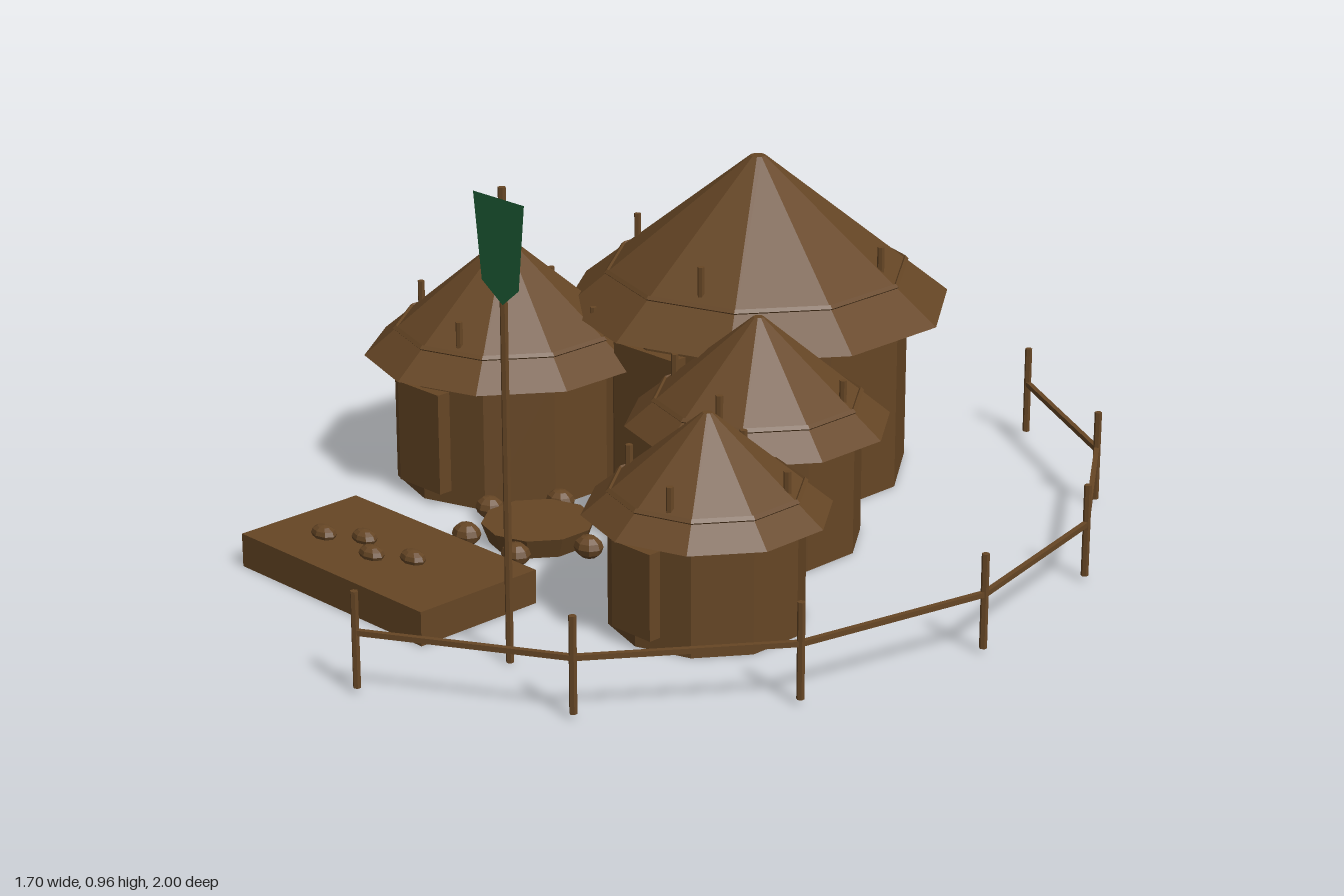
import * as THREE from 'three';

const wood = new THREE.MeshStandardMaterial({ color: 0x664625, flatShading: true });
wood.name = 'brown wood';
const cloth = new THREE.MeshStandardMaterial({ color: 0x1f6239, flatShading: true, side: THREE.DoubleSide });
cloth.name = 'green cloth';

function add(parent, name, geometry, x, y, z, material = wood) {
  const mesh = new THREE.Mesh(geometry, material);
  mesh.name = name;
  mesh.position.set(x, y, z);
  parent.add(mesh);
  return mesh;
}

// Ten-sided hut: wall, conical roof, binding ring, roof pegs and front door
function makeHut(x, z, r, eave, peak) {
  const hut = new THREE.Group();
  hut.name = 'hut';
  hut.position.set(x, 0, z);
  const wallR = r * 0.79, rise = peak - eave, topR = r * 0.04;
  const roofY = (d) => eave + rise * (r - d) / (r - topR);

  add(hut, 'wall', new THREE.CylinderGeometry(wallR, wallR, eave + 0.005, 10), 0, (eave + 0.005) / 2, 0);
  add(hut, 'roof', new THREE.CylinderGeometry(topR, r, rise, 10), 0, eave + rise / 2, 0);

  const ring = new THREE.TorusGeometry(r * 0.775, 0.007, 4, 10).rotateX(Math.PI / 2).rotateY(Math.PI / 2);
  add(hut, 'roofRing', ring, 0, roofY(r * 0.775), 0);

  const pegH = 0.03 + r * 0.11, pegR = r * 0.68;
  for (let i = 0; i < 4; i++) {
    const a = 0.35 + i * Math.PI / 2;
    add(hut, 'roofPeg', new THREE.CylinderGeometry(0.008, 0.008, pegH, 6),
      Math.sin(a) * pegR, roofY(pegR) + 0.01, Math.cos(a) * pegR);
  }

  const doorH = eave * 0.9 - 0.03;
  add(hut, 'door', new THREE.BoxGeometry(r * 0.42, doorH, 0.05), 0, 0.03 + doorH / 2, wallR - 0.014);
  return hut;
}

// Fence: upright posts joined by one rail on an arc
function makeFence() {
  const fence = new THREE.Group();
  fence.name = 'fence';
  const half = [[0.12, 0.99], [0.495, 0.775], [0.75, 0.425]];
  const points = [...half, [0.84, 0], ...half.map(([x, z]) => [x, -z]).reverse()];
  points.forEach(([x, z], i) => {
    add(fence, 'fencePost', new THREE.CylinderGeometry(0.008, 0.008, 0.2, 6), x, 0.11, z);
    if (i === 0) return;
    const [px, pz] = points[i - 1];
    const length = Math.hypot(x - px, z - pz);
    const rail = add(fence, 'fenceRail', new THREE.BoxGeometry(0.011, 0.011, length), (x + px) / 2, 0.125, (z + pz) / 2);
    rail.rotation.y = Math.atan2(x - px, z - pz);
  });
  return fence;
}

// Round table with six low seats
function makeGathering() {
  const group = new THREE.Group();
  group.name = 'gatheringPlace';
  group.position.set(-0.2, 0, 0.23);
  add(group, 'table', new THREE.CylinderGeometry(0.122, 0.105, 0.045, 10), 0, 0.0225, 0);
  for (let i = 0; i < 6; i++) {
    const a = i * Math.PI / 3;
    add(group, 'seat', new THREE.SphereGeometry(1, 8, 6), Math.cos(a) * 0.155, 0.03, Math.sin(a) * 0.155)
      .scale.set(0.034, 0.025, 0.029);
  }
  return group;
}

// Flat stand with goods laid out on top
function makeStand() {
  const stand = new THREE.Group();
  stand.name = 'stand';
  add(stand, 'platform', new THREE.BoxGeometry(0.57, 0.073, 0.305), -0.24, 0.0365, 0.6125);
  for (let i = 0; i < 4; i++) {
    add(stand, 'goods', new THREE.SphereGeometry(1, 8, 6), -0.395 + i * 0.077, 0.08, i % 2 ? 0.607 : 0.652)
      .scale.set(0.033, 0.018, 0.022);
  }
  return stand;
}

// Tall pole with a pointed hanging banner
function makeBanner() {
  const group = new THREE.Group();
  group.name = 'bannerPole';
  group.position.set(0.222, 0, 0.69);
  add(group, 'pole', new THREE.CylinderGeometry(0.008, 0.008, 0.965, 6), 0, 0.4825, 0);
  const outline = [[-0.071, 0.945], [-0.051, 0.775], [0.007, 0.737], [0.053, 0.775], [0.071, 0.945]];
  const shape = new THREE.Shape(outline.map(([x, y]) => new THREE.Vector2(x, y)));
  add(group, 'banner', new THREE.ShapeGeometry(shape), 0, 0, 0.009, cloth);
  return group;
}

export function createModel() {
  const model = new THREE.Group();
  model.name = 'village';
  model.add(
    makeHut(-0.2, -0.43, 0.431, 0.385, 0.715),
    makeHut(-0.55, 0, 0.315, 0.287, 0.54),
    makeHut(0.105, -0.12, 0.284, 0.262, 0.49),
    makeHut(0.34, 0.265, 0.254, 0.237, 0.44),
    makeFence(), makeGathering(), makeStand(), makeBanner(),
  );
  return model;
}
